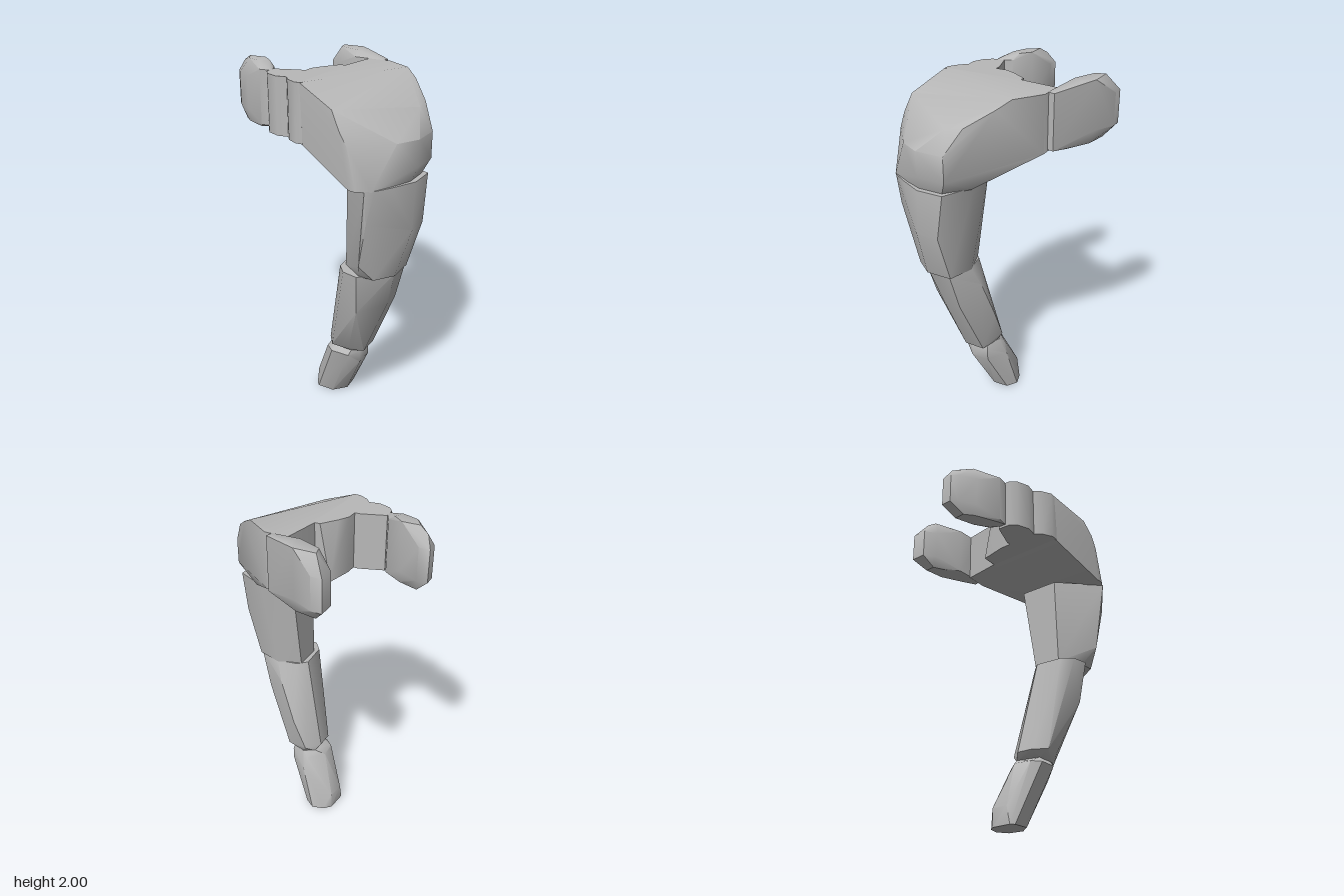
import * as THREE from 'three';
import { toCreasedNormals } from 'three/addons/utils/BufferGeometryUtils.js';
import { ConvexGeometry } from 'three/addons/geometries/ConvexGeometry.js';

const grey = new THREE.MeshStandardMaterial({ color: 0xb8b8b8 });
grey.name = 'grey';

// Convex segment wrapped around a few corner points, smoothed over soft edges
function segment(name, points) {
  const hull = new ConvexGeometry(points.map((p) => new THREE.Vector3(...p)));
  const mesh = new THREE.Mesh(toCreasedNormals(hull, 0.7), grey);
  mesh.name = name;
  return mesh;
}

// Repeats an [x, z] outline at one height
const ring = (y, outline) => outline.map(([x, z]) => [x, y, z]);

export function createModel() {
  const group = new THREE.Group();
  group.name = 'claw';

  // Arm, from the tip up
  group.add(segment('armTip', [
    ...ring(0, [[-0.08, 0.12], [-0.07, 0.0], [-0.03, -0.04], [0.04, -0.06], [0.1, -0.02], [0.105, 0.07], [0.04, 0.14], [-0.06, 0.14]]),
    ...ring(0.1, [[-0.08, 0.1], [-0.07, 0]]),
    ...ring(0.28, [[0.23, 0.04], [0.23, 0.15], [0.12, -0.03]]),
    ...ring(0.35, [[0.02, 0.08], [0.03, 0.18], [0.08, 0.22], [0.19, 0.22], [0.23, 0.15], [0.23, 0.04], [0.1, -0.005]]),
    ...ring(0.385, [[0.08, 0.05], [0.1, 0.19], [0.2, 0.19], [0.22, 0.05], [0.14, 0.01]]),
  ]));
  group.add(segment('armLower', [
    ...ring(0.38, [[0.08, 0.05], [0.1, 0.19], [0.2, 0.2], [0.265, 0.17], [0.265, 0.05], [0.15, 0.02]]),
    ...ring(0.42, [[0.05, 0.08], [0.05, 0.18], [0.1, 0.25], [0.2, 0.235], [0.12, 0]]),
    [0.2, 0.6, 0], [0.3, 0.73, 0.34], [0.42, 0.75, 0.1], [0.42, 0.75, 0.2], [0.3, 0.86, 0.03],
    ...ring(0.975, [[0.17, 0.14], [0.18, 0.3], [0.23, 0.36], [0.32, 0.38], [0.48, 0.25], [0.48, 0.12], [0.34, 0.07], [0.22, 0.09]]),
  ]));
  group.add(segment('armUpper', [
    ...ring(0.97, [[0.2, 0.11], [0.2, 0.27], [0.32, 0.355], [0.41, 0.36], [0.485, 0.26], [0.485, 0.11], [0.34, 0.065]]),
    [0.36, 1.07, 0.435], [0.57, 1.25, 0.12], [0.57, 1.25, 0.25], [0.41, 1.32, 0.46],
    ...ring(1.505, [[0.2, 0.03], [0.2, 0.26], [0.41, 0.48], [0.45, 0.45], [0.5, 0.37], [0.57, 0.23], [0.57, 0.08], [0.4, 0]]),
  ]));

  // Palm, bending from the arm into the hook
  group.add(segment('palm', [
    ...ring(1.5, [[0.32, 0.05], [0.33, 0.49], [0.37, 0.495], [0.44, 0.46], [0.5, 0.34], [0.54, 0.24], [0.54, 0.1], [0.42, 0]]),
    ...ring(1.58, [[0.575, 0.22], [0.575, 0.06]]),
    ...ring(1.66, [[0.01, 0.4], [0.01, -0.06], [0.02, -0.13], [0.04, -0.28], [0.17, -0.28]]),
    ...ring(1.72, [[0.32, 0.495], [0.51, 0.34], [0.575, 0.22], [0.575, 0.06]]),
    [0.28, 1.79, 0.495], [0.23, 1.88, 0.475], [0.39, 1.93, -0.13], [0.5, 1.85, -0.01], [0.51, 1.84, 0.08],
    ...ring(1.97, [[0.01, 0.405], [0.01, -0.06], [0.02, -0.13], [0.04, -0.28], [0.17, -0.28], [0.32, -0.18]]),
  ]));

  // Links leading to the front finger
  const inner = [[-0.11, 0.09], [-0.11, 0.33], [-0.08, 0.37], [-0.02, 0.405], [0.02, 0.405]];
  group.add(segment('palmEdge', [
    ...ring(1.66, [...inner, [-0.08, -0.06], [0.02, -0.06]]),
    ...ring(1.97, [...inner, [-0.08, 0.03], [-0.02, -0.06], [0.02, -0.06]]),
  ]));
  const link = [[-0.275, 0.2], [-0.14, 0.155], [-0.1, 0.155], [-0.1, 0.33], [-0.17, 0.34], [-0.24, 0.31], [-0.27, 0.27]];
  group.add(segment('fingerLink', [...ring(1.66, link), ...ring(1.97, link)]));

  // Bevelled fingers
  const frontTip = [[-0.58, 0.03], [-0.52, 0.03], [-0.58, 0.09], [-0.55, 0.125], [-0.4, 0.09], [-0.46, 0.185]];
  const frontRoot = [[-0.3, 0.155], [-0.275, 0.205], [-0.27, 0.245], [-0.33, 0.25]];
  group.add(segment('frontFinger', [
    ...ring(1.66, [[-0.51, 0.07], [-0.51, 0.13], [-0.4, 0.11], [-0.46, 0.175], [-0.34, 0.235], [-0.32, 0.17]]),
    ...ring(1.675, frontRoot),
    ...ring(1.73, frontTip),
    ...ring(1.91, frontTip),
    ...ring(1.97, [[-0.55, 0.07], ...frontRoot]),
    ...ring(2, [[-0.5, 0.09], [-0.4, 0.09], [-0.34, 0.14], [-0.37, 0.19], [-0.46, 0.155]]),
  ]));
  const backTip = [[-0.265, -0.5], [-0.205, -0.5], [-0.265, -0.41], [-0.2, -0.36], [-0.08, -0.44], [-0.11, -0.315]];
  const backRoot = [[0.14, -0.315], [0.13, -0.275], [-0.05, -0.285]];
  group.add(segment('backFinger', [
    ...ring(1.66, [[-0.2, -0.44], [-0.2, -0.38], [-0.08, -0.42], [-0.1, -0.325], [0.05, -0.35]]),
    ...ring(1.67, backRoot),
    ...ring(1.73, backTip),
    ...ring(1.91, backTip),
    ...ring(1.97, backRoot),
    ...ring(2, [[-0.205, -0.44], [-0.08, -0.44], [-0.02, -0.39], [-0.06, -0.33], [-0.19, -0.385]]),
  ]));
  return group;
}
